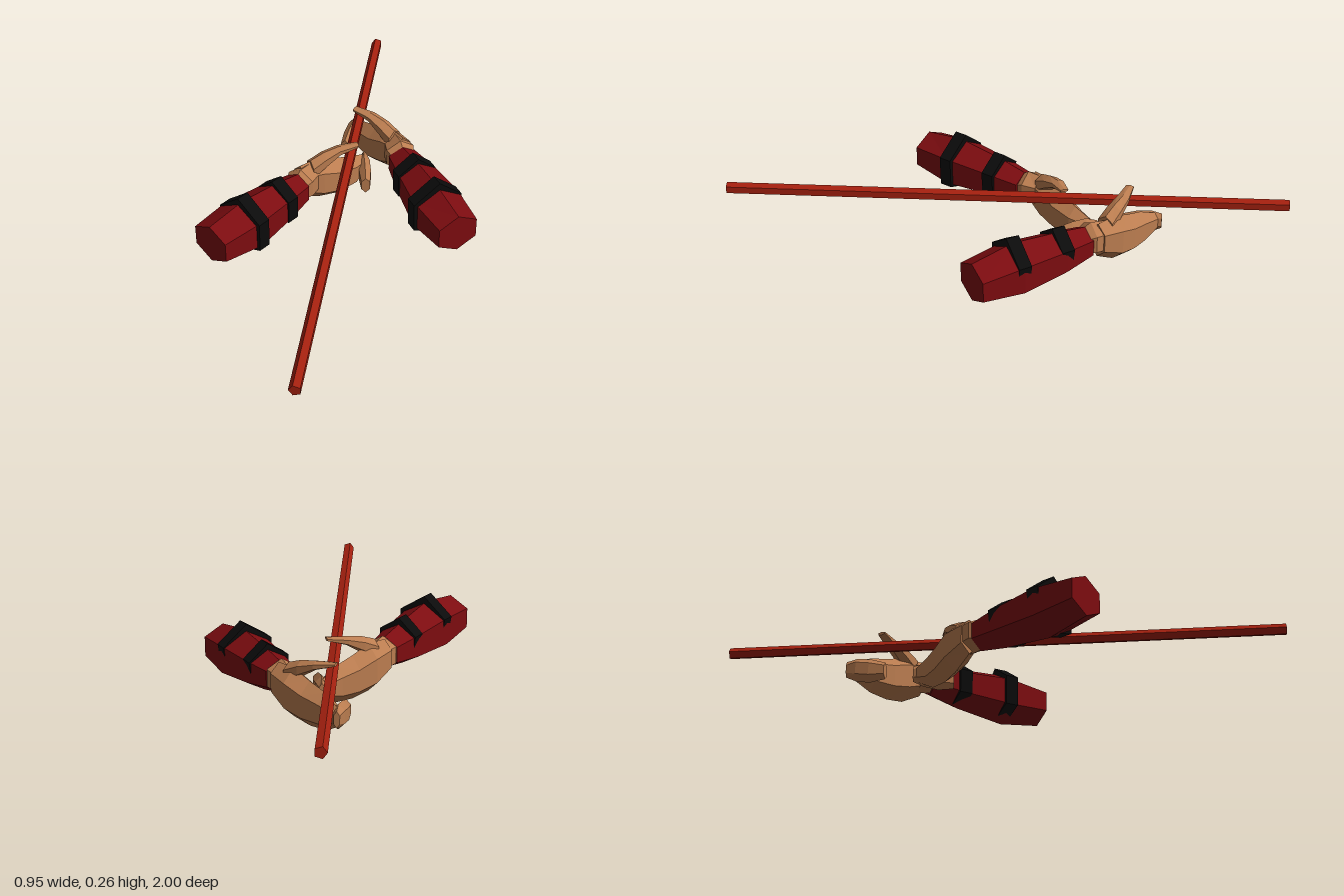
import * as THREE from 'three';

const mat = (color) => new THREE.MeshStandardMaterial({ color, flatShading: true, side: THREE.DoubleSide });
const SLEEVE = mat(0x7d0c10), STRAP = mat(0x0b0b0b), SKIN = mat(0xbb7d50), WOOD = mat(0xa5200f);

// Lofts six-sided rings [x, y, z, halfWidth, halfHeight] that stand upright across the path.
// grow scales each corner of the ring; m = -1 mirrors in x.
function loft(rings, m = 1, grow = [1, 1, 1, 1, 1, 1]) {
  const n = 6, pos = [], index = [], last = rings.length - 1;
  rings.forEach(([x, y, z, w, h], i) => {
    const a = rings[Math.max(i - 1, 0)], b = rings[Math.min(i + 1, last)];
    const dx = b[0] - a[0], dz = b[2] - a[2], len = Math.hypot(dx, dz);
    for (let k = 0; k < n; k++) {
      const t = ((k + 0.5) * Math.PI) / 3;
      const u = (Math.cos(t) / Math.cos(Math.PI / 6)) * w * grow[k];
      pos.push(m * (x + (u * dz) / len), y + Math.sin(t) * h * grow[k], z - (u * dx) / len);
    }
  });
  const tri = (a, b, c) => (m > 0 ? index.push(a, b, c) : index.push(a, c, b));
  for (let i = 0; i < last; i++) {
    for (let k = 0; k < n; k++) {
      const a = i * n + k, b = i * n + ((k + 1) % n);
      tri(a, b, b + n);
      tri(a, b + n, a + n);
    }
  }
  for (let k = 1; k < n - 1; k++) {
    tri(0, k + 1, k);
    tri(last * n, last * n + k, last * n + k + 1);
  }
  const g = new THREE.BufferGeometry();
  g.setAttribute('position', new THREE.Float32BufferAttribute(pos, 3));
  g.setIndex(index);
  const flat = g.toNonIndexed();
  flat.computeVertexNormals();
  return flat;
}

function part(group, name, geometry, material) {
  const mesh = new THREE.Mesh(geometry, material);
  mesh.name = name;
  group.add(mesh);
}

// One forearm and gripping hand; ys = heights at elbow, bulge, lower strap and wrist
function makeArm(name, m, ys) {
  const arm = new THREE.Group();
  arm.name = name;

  // sleeve from elbow to wrist
  const sleeve = [
    [-0.415, ys[0], 0.315, 0.075, 0.073],
    [-0.325, ys[1], 0.185, 0.088, 0.1],
    [-0.235, ys[2], 0.035, 0.07, 0.08],
    [-0.175, ys[3], -0.06, 0.052, 0.058],
  ];
  part(arm, 'sleeve', loft(sleeve, m), SLEEVE);

  // straps over the top and inner side only, sunk into the sleeve elsewhere
  for (const [x, y, z, w, h] of [sleeve[1], sleeve[2]]) {
    const ends = [-0.024, 0.024].map((d) => [x + 0.54 * d, y, z - 0.84 * d, w, h]);
    part(arm, 'strap', loft(ends, m, [1.03, 1.24, 1.13, 1.1, 0.9, 0.88]), STRAP);
  }

  // flared cuff of the wrist
  part(arm, 'wrist', loft([
    [-0.18, 0.13, -0.05, 0.042, 0.05],
    [-0.168, 0.135, -0.075, 0.053, 0.062],
    [-0.145, 0.13, -0.12, 0.042, 0.062],
  ], m), SKIN);

  // palm, upright and passing below the staff
  part(arm, 'palm', loft([
    [-0.175, 0.13, -0.1, 0.036, 0.065],
    [-0.12, 0.11, -0.155, 0.048, 0.088],
    [-0.065, 0.09, -0.2, 0.044, 0.08],
    [-0.01, 0.083, -0.25, 0.035, 0.067],
    [0.03, 0.088, -0.305, 0.018, 0.035],
  ], m), SKIN);

  // fingers folded back on the far side
  part(arm, 'fingers', loft([
    [0.03, 0.09, -0.33, 0.01, 0.03],
    [0.034, 0.085, -0.29, 0.022, 0.045],
    [0.045, 0.075, -0.24, 0.022, 0.045],
    [0.055, 0.068, -0.185, 0.016, 0.032],
  ], m), SKIN);

  // thumb arching over the staff
  part(arm, 'thumb', loft([
    [-0.14, 0.165, -0.125, 0.03, 0.04],
    [-0.095, 0.195, -0.155, 0.028, 0.03],
    [-0.045, 0.219, -0.185, 0.022, 0.016],
    [0.022, 0.233, -0.21, 0.014, 0.006],
  ], m), SKIN);
  return arm;
}

export function createModel() {
  const model = new THREE.Group();
  model.name = 'armsHoldingStaff';

  // five-sided staff along z
  const staff = new THREE.CylinderGeometry(0.021, 0.021, 2, 5, 1, false, -Math.PI / 2);
  staff.rotateX(Math.PI / 2);
  staff.translate(-0.005, 0.185, 0);
  part(model, 'staff', staff, WOOD);

  model.add(makeArm('rightArm', 1, [0.143, 0.138, 0.132, 0.13]));
  const left = makeArm('leftArm', -1, [0.1, 0.103, 0.115, 0.125]);
  left.position.z = -0.23;
  model.add(left);
  return model;
}
